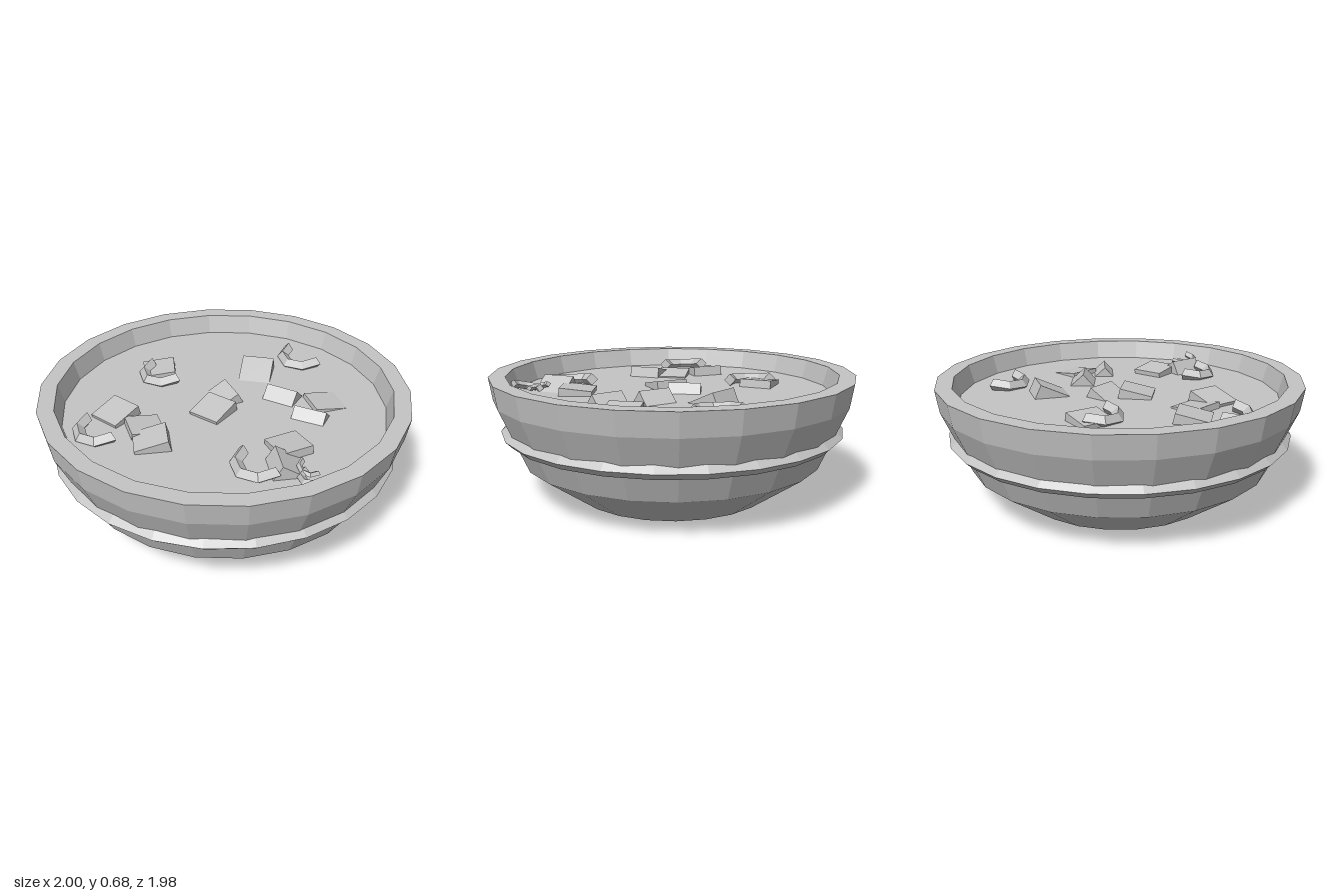
import * as THREE from 'three';
import { mergeGeometries } from 'three/addons/utils/BufferGeometryUtils.js';

const SIDES = 22;
const SURFACE = 0.57; // height of the filling

export function createModel() {
  const group = new THREE.Group();
  const grey = new THREE.MeshStandardMaterial({ color: 0xc4c4c4, flatShading: true });
  grey.name = 'plain grey';

  const add = (name, geometry, parent = group) => {
    const mesh = new THREE.Mesh(geometry, grey);
    mesh.name = name;
    parent.add(mesh);
    return mesh;
  };

  // Bowl: faceted wall, flat rim and inner wall
  const profile = [
    [0, 0], [0.54, 0], [0.83, 0.205], [0.98, 0.55], [1, 0.675],
    [0.91, 0.675], [0.88, SURFACE],
  ].map(([r, y]) => new THREE.Vector2(r, y));
  add('bowl', new THREE.LatheGeometry(profile, SIDES, Math.PI / 2));

  // Raised band around the outside
  add('band', new THREE.TorusGeometry(0.911, 0.035, 4, 24).rotateX(-Math.PI / 2))
    .position.y = 0.375;

  // Flat surface of the filling
  add('soupSurface', new THREE.CircleGeometry(0.882, SIDES).rotateX(-Math.PI / 2))
    .position.y = SURFACE;

  // Tilted cubes, pivoting on the middle of their raised top edge
  const chunk = new THREE.BoxGeometry(0.18, 0.09, 0.18).translate(0, -0.045, -0.09);
  // x, z, yaw, tilt (degrees), height of the raised edge over the surface
  const chunks = [
    [-0.19, -0.41, -140, 25, 0.075],
    [0.30, -0.36, -21, 8, 0.025],
    [0.147, -0.29, 22, 42, 0.067],
    [0.39, -0.27, 26, 42, 0.055],
    [-0.05, -0.09, 165, 28, 0.058],
    [0, 0.015, -165, 12, 0.055],
    [-0.475, -0.005, 147, 7, 0.045],
    [0.61, 0.03, 77, 6, 0.045],
    [0.62, 0.165, -30, 32, 0.075],
    [-0.297, 0.44, -168, 12, 0.055],
    [-0.115, 0.55, -20, 8, 0.033],
    [0.093, 0.45, 150, 14, 0.06],
  ];
  const rad = THREE.MathUtils.degToRad;
  const chunkGroup = new THREE.Group();
  chunkGroup.name = 'chunks';
  group.add(chunkGroup);
  for (const [x, z, yaw, tilt, h] of chunks) {
    const mesh = add('chunk', chunk, chunkGroup);
    mesh.position.set(x, SURFACE + h, z);
    mesh.rotation.set(-rad(tilt), rad(yaw), 0, 'YXZ');
  }

  // Curled pieces: half rings with capped ends
  const R = 0.118, T = 0.034;
  const cap = (x) => new THREE.CircleGeometry(T, 4).rotateX(Math.PI / 2).translate(x, 0, 0);
  const curl = mergeGeometries([
    new THREE.TorusGeometry(R, T, 4, 4, Math.PI), cap(R), cap(-R),
  ]).rotateX(Math.PI / 2);
  // x, z, size, sideways roll
  const curls = [
    [-0.10, -0.685, 1, 0],
    [-0.465, 0.07, 1, 0],
    [-0.19, 0.67, 1, 0],
    [0.55, 0.225, 1, 0],
    [0.80, 0.09, 0.62, 0.2],
    [0.735, 0.065, 0.45, -0.2],
  ];
  const curlGroup = new THREE.Group();
  curlGroup.name = 'curls';
  group.add(curlGroup);
  for (const [x, z, size, roll] of curls) {
    const mesh = add('curl', curl, curlGroup);
    mesh.position.set(x, SURFACE + 0.035, z);
    mesh.rotation.set(0.17, 0, roll);
    mesh.scale.setScalar(size);
  }

  return group;
}
